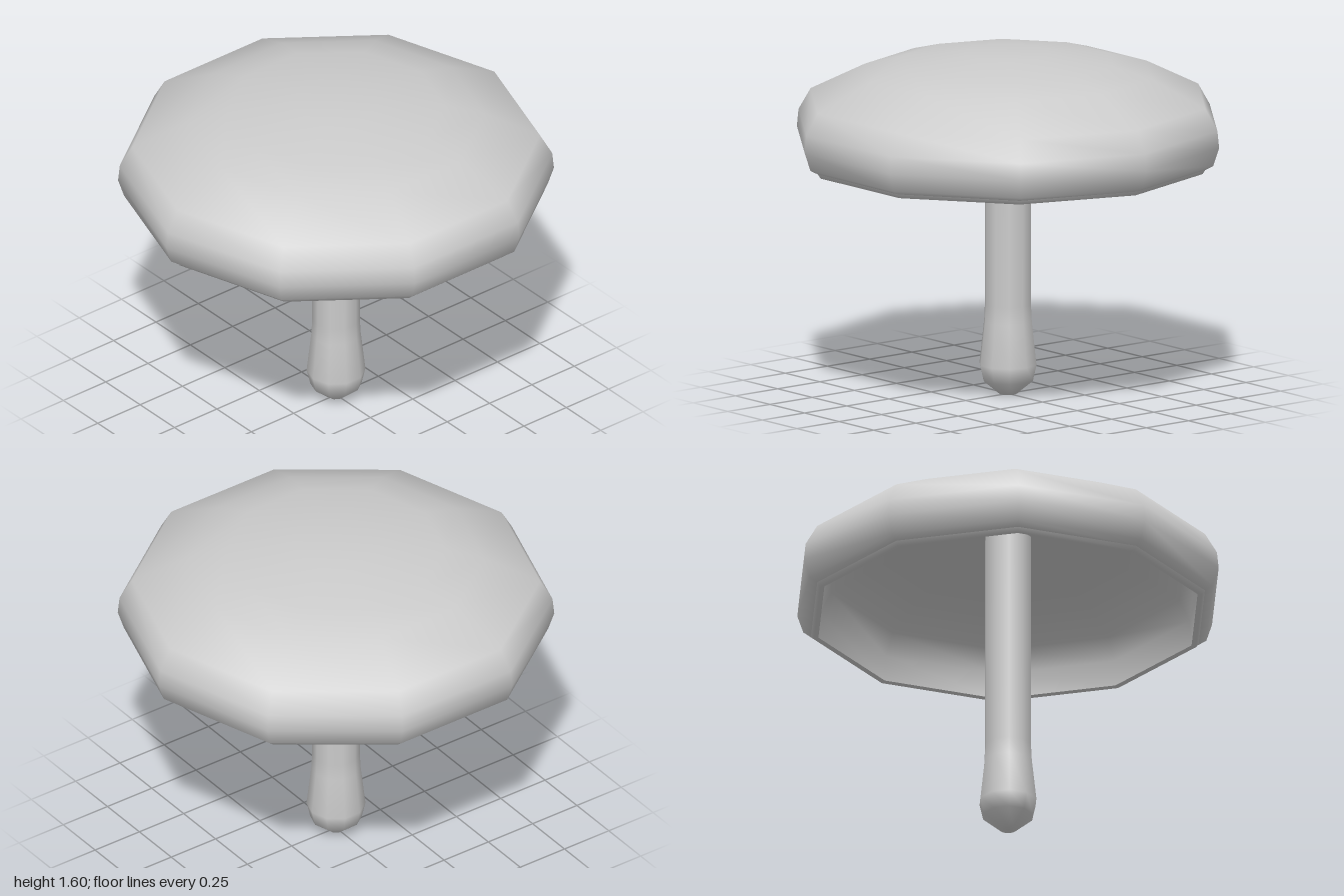
import * as THREE from 'three';

const SIDES = 10;
const material = new THREE.MeshStandardMaterial({ color: 0xcccccc });

// Ten-sided turned part; a corner lies on the +x axis.
// Profiles running upwards face outwards, downwards face inwards.
function turned(name, profile) {
  const points = profile.map(([r, y]) => new THREE.Vector2(r, y));
  const mesh = new THREE.Mesh(new THREE.LatheGeometry(points, SIDES, Math.PI / 2), material);
  mesh.name = name;
  return mesh;
}

export function createModel() {
  const model = new THREE.Group();
  model.name = 'mushroom';

  // Stem with a swollen foot, running up to the hollow of the cap
  model.add(turned('stem', [
    [0, 0], [0.04, 0], [0.118, 0.065], [0.135, 0.14],
    [0.113, 0.34], [0.109, 0.42], [0.109, 1.47],
  ]));

  // Domed outer skin of the cap
  model.add(turned('cap', [
    [0.935, 1.095], [0.972, 1.115], [1, 1.2], [0.992, 1.28], [0.935, 1.38],
    [0.68, 1.507], [0.5, 1.556], [0.2, 1.597], [0, 1.597],
  ]));

  // Narrow rim under the edge of the cap
  model.add(turned('rim', [[0.9, 1.08], [0.922, 1.075], [0.935, 1.095]]));

  // Hollow underside of the cap
  model.add(turned('underside', [
    [0, 1.47], [0.3, 1.46], [0.65, 1.4], [0.84, 1.3], [0.89, 1.2], [0.9, 1.08],
  ]));

  return model;
}
